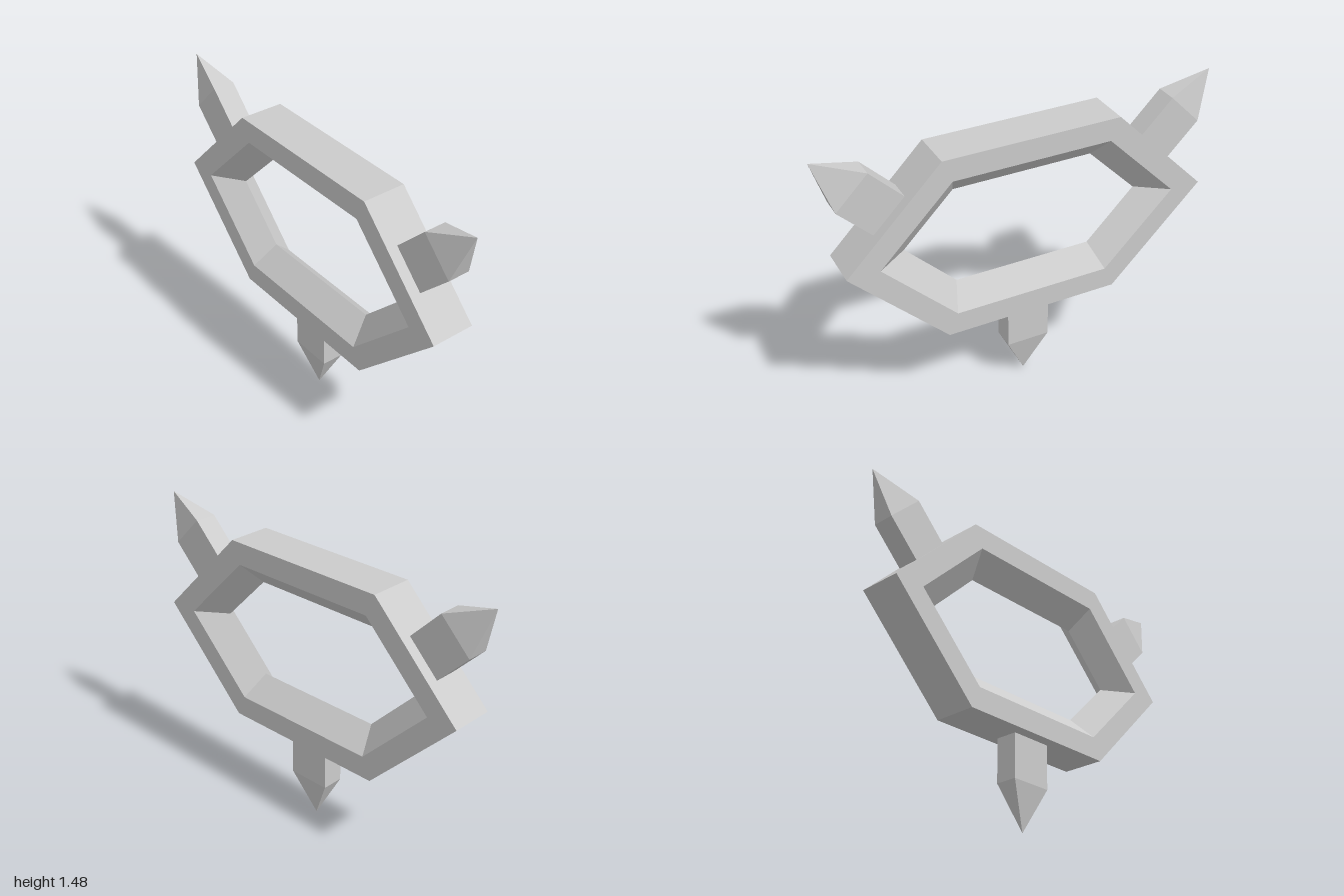
import * as THREE from 'three';

const material = new THREE.MeshStandardMaterial({ color: 0xcccccc, flatShading: true });
const CENTER_Y = 0.925;
const HALF_DEPTH = 0.11;

// Stretched hexagon, anticlockwise seen from the front
const hexagon = (tipX, sideX, halfHeight, z) => [
  [tipX, 0], [sideX, halfHeight], [-sideX, halfHeight],
  [-tipX, 0], [-sideX, -halfHeight], [sideX, -halfHeight],
].map(([x, y]) => new THREE.Vector3(x, y, z));

// Hexagonal ring whose inner walls slope to a ridge at mid depth
function createRing() {
  const loops = [
    hexagon(0.92, 0.447, 0.475, -HALF_DEPTH),
    hexagon(0.92, 0.447, 0.475, HALF_DEPTH),
    hexagon(0.762, 0.4, 0.362, HALF_DEPTH),
    hexagon(0.607, 0.355, 0.252, 0),
    hexagon(0.762, 0.4, 0.362, -HALF_DEPTH),
  ];
  const points = [];
  loops.forEach((loop, k) => {
    const after = loops[(k + 1) % loops.length];
    for (let i = 0; i < 6; i++) {
      const j = (i + 1) % 6;
      points.push(loop[i], loop[j], after[j], loop[i], after[j], after[i]);
    }
  });
  const geometry = new THREE.BufferGeometry().setFromPoints(points);
  geometry.computeVertexNormals();
  const ring = new THREE.Mesh(geometry, material);
  ring.name = 'hexagonalRing';
  ring.position.y = CENTER_Y;
  return ring;
}

// Flat bar from y = 0 whose upper half tapers to a point
function createSpikeGeometry(length) {
  const box = new THREE.BoxGeometry(0.222, length, 0.112, 1, 2, 1);
  box.translate(0, length / 2, 0);
  const position = box.attributes.position;
  for (let i = 0; i < position.count; i++) {
    if (position.getY(i) > length * 0.75) position.setXYZ(i, 0, length, 0);
  }
  const geometry = box.toNonIndexed();
  geometry.computeVertexNormals();
  return geometry;
}

export function createModel() {
  const model = new THREE.Group();
  model.name = 'spikedRing';
  model.add(createRing());

  // One spike below, and one on the middle of each upper slope
  const spikeGeometry = createSpikeGeometry(0.448);
  const spikes = [
    ['bottomSpike', 0, 0.448, Math.PI],
    ['leftSpike', 0.684, 1.162, -Math.PI / 4],
    ['rightSpike', -0.684, 1.162, Math.PI / 4],
  ];
  for (const [name, x, y, angle] of spikes) {
    const spike = new THREE.Mesh(spikeGeometry, material);
    spike.name = name;
    spike.position.set(x, y, 0);
    spike.rotation.z = angle;
    model.add(spike);
  }
  return model;
}
